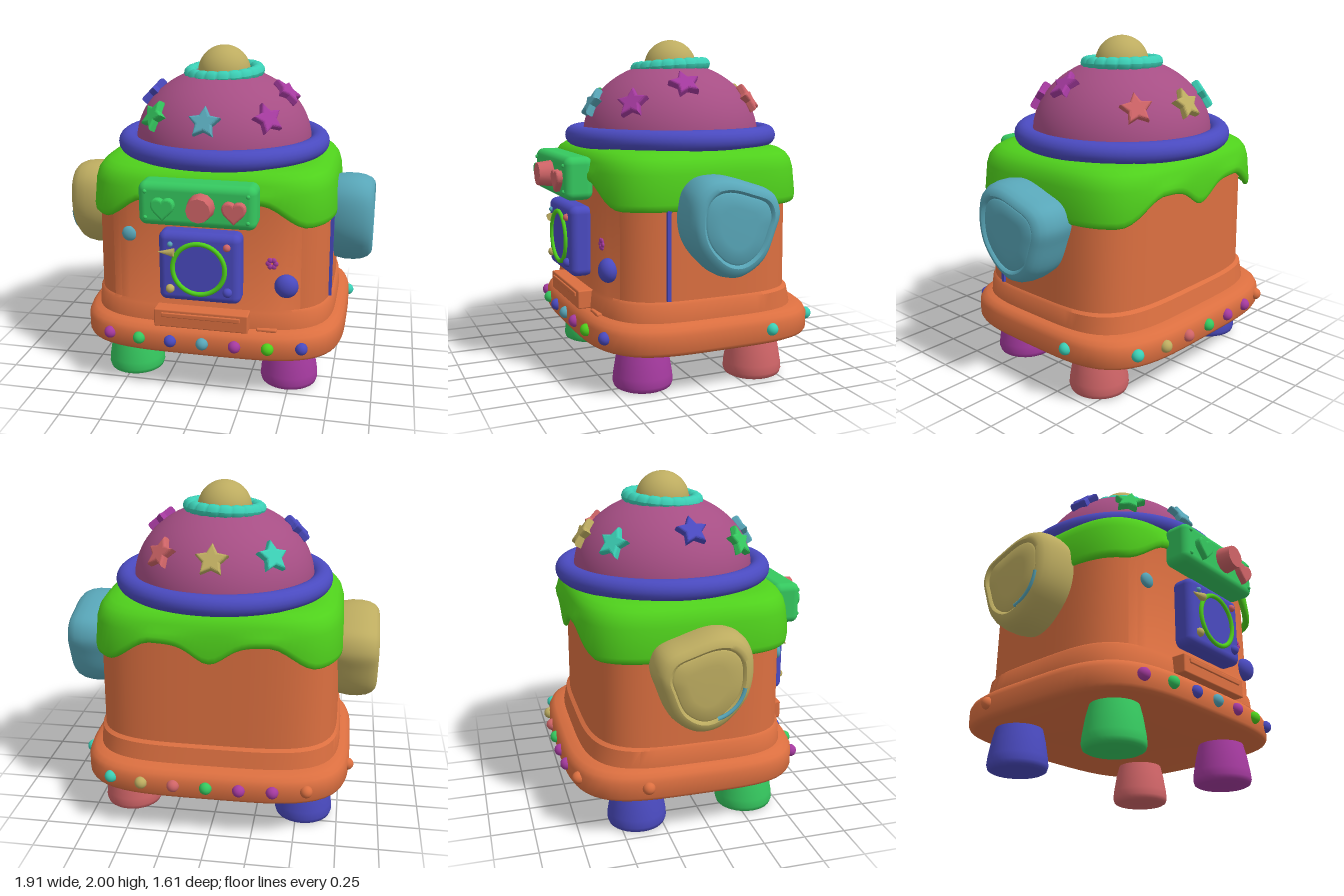
import * as THREE from 'three';
import { toCreasedNormals } from 'three/addons/utils/BufferGeometryUtils.js';
import { RoundedBoxGeometry } from 'three/addons/geometries/RoundedBoxGeometry.js';

const palette = {
  orange: 0xdb6f40, plum: 0xa64e84, blue: 0x4a4abf, lime: 0x4fd01c, emerald: 0x35c85f,
  teal: 0x3bcfb5, tan: 0xbdac60, cyan: 0x58a6b8, magenta: 0xa53a9f, coral: 0xcf6467,
};

// Smooth surface from closed loops: fn(row, u) returns [x, y, z]
function loft(rows, cols, fn, crease = 0.75) {
  const pos = [], index = [];
  for (let i = 0; i < rows; i++) {
    for (let j = 0; j < cols; j++) {
      pos.push(...fn(i, j / cols));
      if (i === rows - 1) continue;
      const a = i * cols + j, b = i * cols + (j + 1) % cols;
      index.push(a, a + cols, b, b, a + cols, b + cols);
    }
  }
  const g = new THREE.BufferGeometry();
  g.setAttribute('position', new THREE.Float32BufferAttribute(pos, 3));
  g.setIndex(index);
  return toCreasedNormals(g, crease);
}

// Point on a rounded square footprint
function footprint(u, hx, hz, cz) {
  const a = u * Math.PI * 2, c = Math.cos(a), s = Math.sin(a);
  const r = (c ** 4 + s ** 4) ** -0.25;
  return [hx * c * r, cz + hz * s * r];
}
const edgeZ = (x, hx, hz) => hz * (1 - (x / hx) ** 4) ** 0.25;

function extrude(shape, depth, bevel) {
  return new THREE.ExtrudeGeometry(shape, {
    depth, bevelEnabled: true, bevelThickness: bevel, bevelSize: bevel, bevelSegments: 3, curveSegments: 10,
  });
}
function starShape(outer, inner) {
  const s = new THREE.Shape();
  for (let i = 0; i < 10; i++) {
    const r = i % 2 ? inner : outer, a = Math.PI / 2 + i * Math.PI / 5;
    s[i ? 'lineTo' : 'moveTo'](r * Math.cos(a), r * Math.sin(a));
  }
  s.closePath();
  return s;
}
function heartShape() {
  const s = new THREE.Shape();
  s.moveTo(0, -0.055);
  s.bezierCurveTo(-0.03, -0.025, -0.06, -0.005, -0.055, 0.022);
  s.bezierCurveTo(-0.05, 0.05, -0.01, 0.05, 0, 0.022);
  s.bezierCurveTo(0.01, 0.05, 0.05, 0.05, 0.055, 0.022);
  s.bezierCurveTo(0.06, -0.005, 0.03, -0.025, 0, -0.055);
  return s;
}

export function createModel() {
  const model = new THREE.Group();
  const mats = {};
  for (const [name, color] of Object.entries(palette)) {
    mats[name] = new THREE.MeshStandardMaterial({ color });
    mats[name].name = name;
  }
  const add = (name, geo, color, x = 0, y = 0, z = 0) => {
    const m = new THREE.Mesh(geo, mats[color]);
    m.name = name;
    m.position.set(x, y, z);
    model.add(m);
    return m;
  };
  const ball = (name, color, r, x, y, z, flat = 1) =>
    add(name, new THREE.SphereGeometry(r, 20, 14), color, x, y, z).scale.set(1, 1, flat);

  // Body with flared base: [y, half width, half depth, centre z]
  const body = [
    [0.25, 0, 0, -0.08], [0.25, 0.78, 0.67, -0.08], [0.262, 0.802, 0.695, -0.08], [0.28, 0.81, 0.705, -0.08],
    [0.37, 0.81, 0.705, -0.08], [0.4, 0.798, 0.69, -0.08], [0.42, 0.775, 0.665, -0.08], [0.43, 0.745, 0.62, -0.065],
    [0.53, 0.738, 0.605, -0.06], [0.545, 0.723, 0.588, -0.055], [1.22, 0.718, 0.583, -0.055],
  ];
  add('body', loft(body.length, 96, (i, u) => {
    const [y, hx, hz, cz] = body[i], [x, z] = footprint(u, hx, hz, cz);
    return [x, y, z];
  }), 'orange');

  // Icing with a dripping lower edge: [height above drip or fixed y, scale]
  const dripY = (x, z) => {
    const up = 1 - THREE.MathUtils.smoothstep(Math.abs(x), 0.34, 0.62);
    const middle = z < 0 ? 0.11 * Math.exp(-((x / 0.13) ** 2)) : 0;
    return 1.05 + 0.14 * up - middle;
  };
  const lip = [[0.03, 0.95], [0.005, 0.965], [0, 0.985], [0.012, 1], [0.04, 1.005]];
  const crown = [[1.25, 0.985], [1.3, 0.965], [1.335, 0.93], [1.358, 0.88], [1.37, 0.81], [1.372, 0.7], [1.372, 0.4]];
  add('icing', loft(lip.length + crown.length, 128, (i, u) => {
    const low = i < lip.length, [h, s] = low ? lip[i] : crown[i - lip.length];
    const [x, z] = footprint(u, 0.74 * s, 0.645 * s, -0.062);
    const [ex, ez] = footprint(u, 0.74, 0.645, -0.062);
    return [x, low ? dripY(ex, ez) + h : h, z];
  }, 1.2), 'lime');

  // Legs
  const legProfile = [[0, 0], [0.15, 0], [0.168, 0.01], [0.176, 0.035], [0.172, 0.08], [0.155, 0.18], [0.135, 0.26], [0, 0.27]]
    .map(([x, y]) => new THREE.Vector2(x, y));
  const leg = toCreasedNormals(new THREE.LatheGeometry(legProfile, 32), 0.9);
  [['frontRightLeg', 'emerald', -0.49, 0.305], ['frontLeftLeg', 'magenta', 0.49, 0.305],
    ['backRightLeg', 'blue', -0.54, -0.39], ['backLeftLeg', 'coral', 0.54, -0.39]]
    .forEach(([name, color, x, z]) => add(name, leg, color, x, 0, z));

  // Rim, dome, ruffled collar and top knob
  const domeZ = -0.08, domeY = 1.42, domeR = 0.545, domeH = 0.45;
  const rim = add('domeRim', new THREE.TorusGeometry(0.595, 0.062, 18, 80), 'blue', 0, 1.42, domeZ);
  rim.rotation.x = Math.PI / 2;
  add('dome', new THREE.SphereGeometry(1, 64, 24, 0, Math.PI * 2, 0, Math.PI / 2), 'plum', 0, domeY, domeZ)
    .scale.set(domeR, domeH, domeR);
  const collar = new THREE.TorusGeometry(0.208, 0.04, 12, 160);
  const p = collar.attributes.position;
  for (let i = 0; i < p.count; i++) {
    const a = Math.atan2(p.getY(i), p.getX(i));
    const k = 0.85 + 0.17 * Math.sqrt(Math.abs(Math.sin(a * 10)));
    const cx = 0.208 * Math.cos(a), cy = 0.208 * Math.sin(a);
    p.setXYZ(i, cx + (p.getX(i) - cx) * k, cy + (p.getY(i) - cy) * k, p.getZ(i) * k);
  }
  collar.computeVertexNormals();
  add('collar', collar, 'teal', 0, 1.84, domeZ).rotation.set(Math.PI / 2 + 0.06, 0.04, 0);
  add('topKnob', new THREE.SphereGeometry(0.162, 32, 24), 'tan', 0, 1.838, domeZ);

  // Stars around the dome: [colour, x, z, y, roll]
  const star = extrude(starShape(0.078, 0.036), 0.025, 0.014);
  [['cyan', -0.015, 0.43, 1.61, 0], ['magenta', 0.33, 0.3, 1.62, 0.15], ['magenta', 0.44, 0.01, 1.725, 0.2],
    ['coral', 0.32, -0.48, 1.635, 0.1], ['tan', 0, -0.59, 1.635, 0], ['teal', -0.34, -0.47, 1.635, -0.1],
    ['blue', -0.45, -0.02, 1.7, 0], ['emerald', -0.34, 0.28, 1.61, -0.2]].forEach(([color, x, z, y, roll]) => {
    const a = Math.atan2(z - domeZ, x), h = (y - domeY) / domeH, r = Math.sqrt(1 - h * h);
    const m = add('domeStar', star, color, domeR * r * Math.cos(a), y, domeZ + domeR * r * Math.sin(a));
    const n = new THREE.Vector3(r * Math.cos(a) / domeR, h / domeH, r * Math.sin(a) / domeR);
    m.lookAt(n.add(m.position));
    m.rotateZ(roll);
  });

  // Side knobs with a soft three-sided outline: z, y
  const outline = new THREE.CatmullRomCurve3([
    [0, 1.255], [-0.18, 1.21], [-0.32, 1.15], [-0.36, 1.05], [-0.33, 0.94], [-0.26, 0.78], [-0.155, 0.7],
    [-0.07, 0.685], [0.03, 0.72], [0.16, 0.86], [0.2, 1.0], [0.18, 1.16], [0.11, 1.235],
  ].map(([z, y]) => new THREE.Vector3(0, y, z)), true);
  const knobRows = [[0.68, 0.93], [0.73, 0.97], [0.78, 1], [0.84, 1], [0.89, 0.97], [0.925, 0.91], [0.945, 0.83],
    [0.95, 0.76], [0.943, 0.72], [0.935, 0.7], [0.942, 0.67], [0.945, 0.4], [0.945, 0]];
  for (const [side, name, color] of [[1, 'leftKnob', 'cyan'], [-1, 'rightKnob', 'tan']]) {
    add(name, loft(knobRows.length, 72, (i, u) => {
      const [x, s] = knobRows[i], o = outline.getPoint(side > 0 ? u : (1 - u) % 1);
      return [side * x, 0.98 + (o.y - 0.98) * s, -0.08 + (o.z + 0.08) * s];
    }), color);
  }
  const arc = add('knobArc', new THREE.TorusGeometry(0.2, 0.012, 8, 24, 1.2), 'cyan', -0.945, 0.98, -0.07);
  arc.rotation.set(0, -Math.PI / 2, 0);
  arc.rotateZ(-1.35);

  // Upper control panel
  add('controlPanel', new RoundedBoxGeometry(0.67, 0.25, 0.17, 5, 0.045), 'emerald', 0, 1.205, 0.62);
  const heart = extrude(heartShape(), 0.03, 0.012);
  add('rightHeart', heart, 'emerald', -0.185, 1.195, 0.7);
  add('leftHeart', heart, 'coral', 0.215, 1.195, 0.7);
  const button = add('button', new THREE.CylinderGeometry(0.068, 0.08, 0.1, 12), 'coral', 0.03, 1.21, 0.74);
  button.rotation.x = Math.PI / 2;
  for (const x of [-0.29, 0.29]) for (const y of [1.13, 1.28]) ball('panelStud', 'emerald', 0.012, x, y, 0.704);

  // Framed dial plate
  add('dialPlate', new RoundedBoxGeometry(0.48, 0.42, 0.14, 5, 0.045), 'blue', 0, 0.82, 0.58);
  add('dialRing', new THREE.TorusGeometry(0.152, 0.014, 10, 56), 'lime', 0, 0.82, 0.655);
  [['coral', 0.163, 0.96, 0.022], ['tan', -0.168, 0.69, 0.026], ['blue', 0.167, 0.69, 0.028], ['cyan', -0.165, 0.96, 0.016]]
    .forEach(([color, x, y, r]) => ball('plateStud', color, r, x, y, 0.652));
  const pointer = add('pointer', new THREE.ConeGeometry(0.026, 0.1, 10), 'tan', -0.19, 0.915, 0.665);
  pointer.rotation.z = 2.2 - Math.PI * 0.2;

  // Small ornaments on the front
  ball('blueBump', 'blue', 0.07, 0.485, 0.7, 0.51, 0.8);
  ball('cyanBump', 'cyan', 0.046, -0.45, 0.955, 0.505, 0.6);
  for (let i = 0; i < 6; i++) {
    const a = i * Math.PI / 3;
    ball('flowerPetal', 'magenta', 0.016, 0.4 + 0.022 * Math.cos(a), 0.835 + 0.022 * Math.sin(a), 0.518, 0.6);
  }

  // Tray with a slot frame
  add('tray', new RoundedBoxGeometry(0.56, 0.11, 0.14, 2, 0.008), 'orange', 0, 0.485, 0.555);
  add('traySlot', new RoundedBoxGeometry(0.47, 0.028, 0.016, 2, 0.006), 'orange', 0, 0.508, 0.626);
  add('trayCrumb', new RoundedBoxGeometry(0.12, 0.02, 0.05, 2, 0.008), 'orange', 0.38, 0.43, 0.54);

  // Strip on the left side
  add('sideStrip', new THREE.BoxGeometry(0.03, 0.52, 0.022), 'blue', 0.712, 0.81, 0.236);

  // Coloured studs around the base
  const front = ['magenta', 'emerald', 'blue', 'cyan', 'magenta', 'lime', 'blue'];
  const back = ['orange', 'magenta', 'magenta', 'emerald', 'coral', 'tan', 'teal'];
  for (let i = 0; i < 7; i++) {
    const x = -0.57 + i * 0.193, z = edgeZ(x, 0.81, 0.705);
    ball('baseStud', front[i], 0.037, x, 0.34, -0.08 + z);
    ball('baseStud', back[i], 0.037, x, 0.34, -0.08 - z);
  }
  ball('baseStud', 'teal', 0.037, 0.8, 0.34, -0.375);
  ball('baseStud', 'orange', 0.037, -0.8, 0.34, -0.375);
  return model;
}
